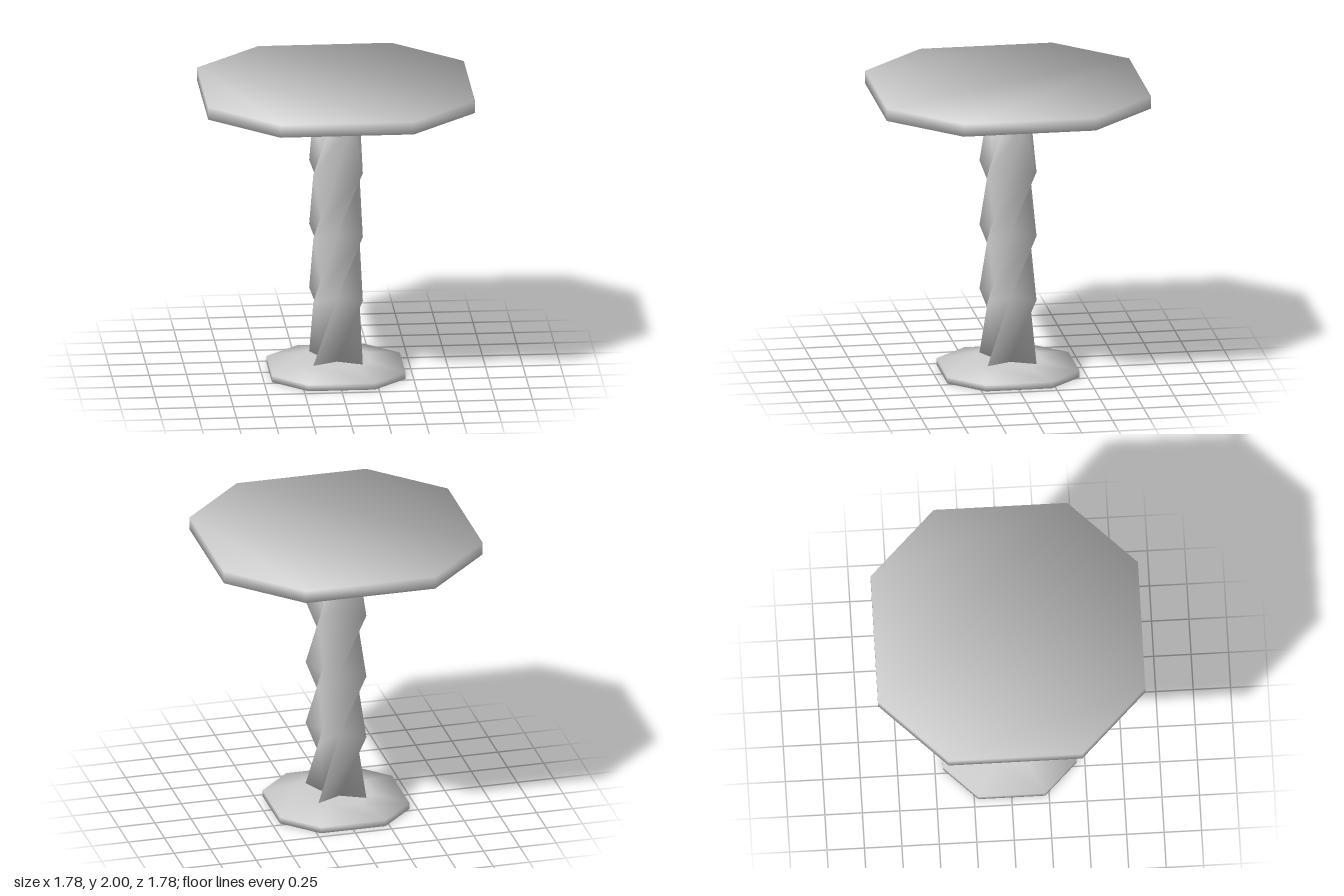
import * as THREE from 'three';

// Smooth normals, each face weighted by its corner angle
function smoothNormals(geometry) {
  const pos = geometry.attributes.position;
  const index = geometry.index.array;
  const sums = Array.from({ length: pos.count }, () => new THREE.Vector3());
  for (let f = 0; f < index.length; f += 3) {
    const ids = [index[f], index[f + 1], index[f + 2]];
    const p = ids.map((i) => new THREE.Vector3().fromBufferAttribute(pos, i));
    const normal = p[1].clone().sub(p[0]).cross(p[2].clone().sub(p[0])).normalize();
    for (let c = 0; c < 3; c++) {
      const u = p[(c + 1) % 3].clone().sub(p[c]);
      const v = p[(c + 2) % 3].clone().sub(p[c]);
      sums[ids[c]].addScaledVector(normal, u.angleTo(v));
    }
  }
  const normals = sums.flatMap((n) => n.normalize().toArray());
  geometry.setAttribute('normal', new THREE.Float32BufferAttribute(normals, 3));
  return geometry;
}

// Joins rings of points, listed bottom to top, into a closed solid
function loft(rings) {
  const n = rings[0].length;
  const top = (rings.length - 1) * n;
  const index = [];
  for (let k = 0; k < rings.length - 1; k++) {
    for (let i = 0; i < n; i++) {
      const a = k * n + i;
      const b = k * n + ((i + 1) % n);
      index.push(a, b, a + n, b, b + n, a + n);
    }
  }
  // End caps, laid in strips across the outline
  for (let i = 0; i < n / 2 - 1; i++) {
    const [a, b, c, d] = [i, i + 1, n - 2 - i, n - 1 - i];
    index.push(top + a, top + b, top + c, top + a, top + c, top + d);
    index.push(a, c, b, a, d, c);
  }
  const geometry = new THREE.BufferGeometry();
  geometry.setAttribute('position', new THREE.Float32BufferAttribute(rings.flat(2), 3));
  geometry.setIndex(index);
  return smoothNormals(geometry);
}

// Square with its corners cut off, anticlockwise from above
const OCTAGON = [[-0.5, 1], [0.5, 1], [1, 0.5], [1, -0.5], [0.5, -1], [-0.5, -1], [-1, -0.5], [-1, 0.5]];

// Octagonal slab from [half width, height] pairs
function slab(profile) {
  return loft(profile.map(([r, y]) => OCTAGON.map(([x, z]) => [x * r, y, z * r])));
}

// Four-pointed star column, a quarter turn per level
function twistedColumn(bottom, step, levels, tipRadius, valleyRadius) {
  const rings = [];
  for (let k = 0; k <= levels; k++) {
    const ring = [];
    for (let i = 0; i < 8; i++) {
      const angle = (i * Math.PI) / 4 + (k * Math.PI) / 2;
      const r = i % 2 ? tipRadius : valleyRadius;
      ring.push([r * Math.sin(angle), bottom + k * step, r * Math.cos(angle)]);
    }
    rings.push(ring);
  }
  return loft(rings);
}

export function createModel() {
  const group = new THREE.Group();
  group.name = 'pedestalTable';
  const grey = new THREE.MeshStandardMaterial({ color: 0xcccccc });
  grey.name = 'plain grey';

  const add = (name, geometry) => {
    const mesh = new THREE.Mesh(geometry, grey);
    mesh.name = name;
    group.add(mesh);
  };

  // Foot, bevelled on its upper side
  add('base', slab([[0.446, 0], [0.446, 0.045], [0.223, 0.089]]));
  // Twisted post, its upper end sunk into the top
  add('column', twistedColumn(0.089, 0.445, 4, 0.234, 0.085));
  // Top, bevelled on its underside
  add('tableTop', slab([[0.446, 1.825], [0.892, 1.913], [0.892, 2]]));

  return group;
}
